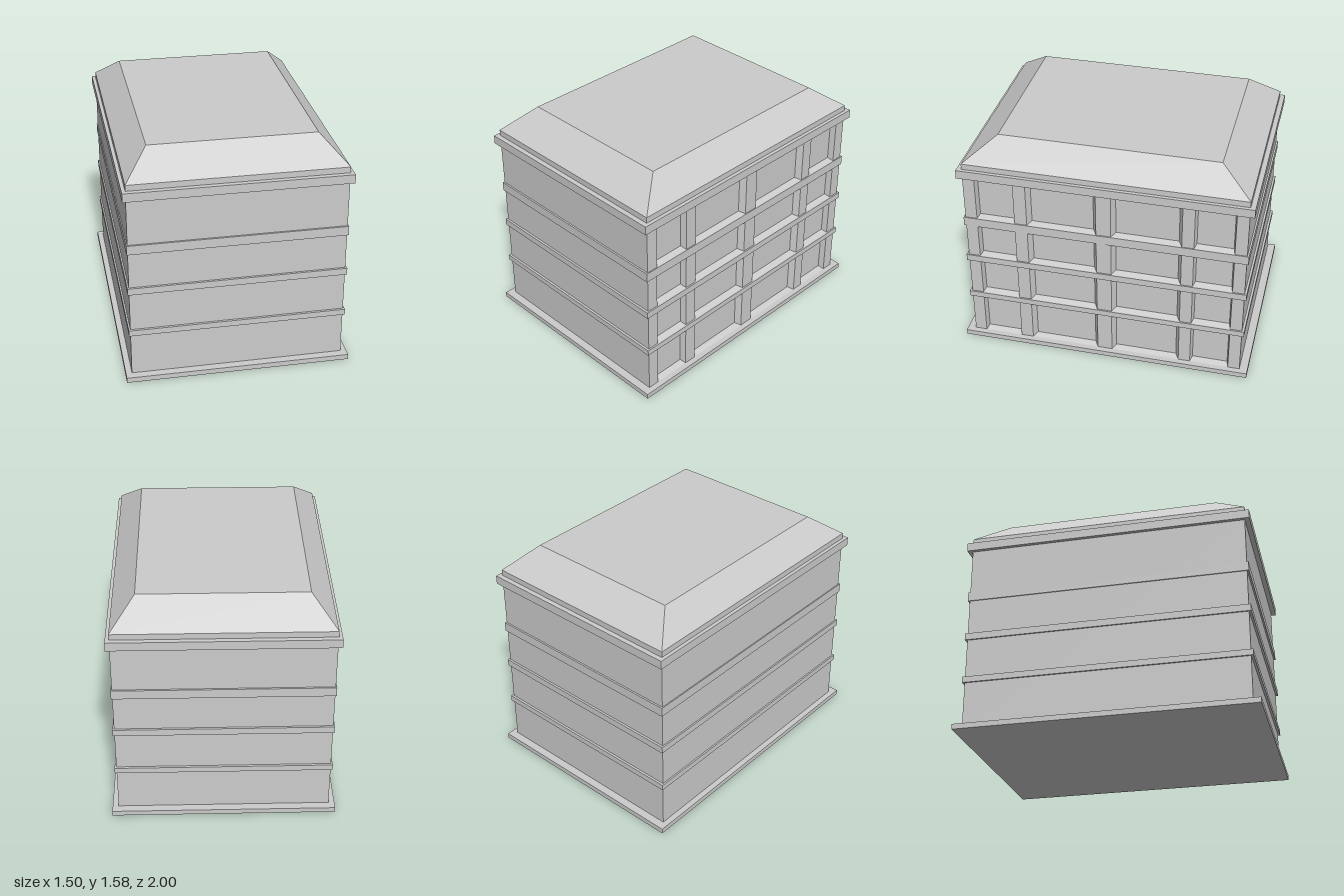
import * as THREE from 'three';

const material = new THREE.MeshStandardMaterial({ color: 0xcccccc, flatShading: true });
const HALF_X = 0.71, HALF_Z = 0.945, WALL_TOP = 1.35, RECESS = 0.04;

function addMesh(group, name, geometry) {
  const mesh = new THREE.Mesh(geometry, material);
  mesh.name = name;
  group.add(mesh);
  return mesh;
}

// Horizontal slab between two heights
function addSlab(group, name, y0, y1, halfX, halfZ) {
  const slab = addMesh(group, name, new THREE.BoxGeometry(2 * halfX, y1 - y0, 2 * halfZ));
  slab.position.y = (y0 + y1) / 2;
}

function rectangle(PathType, x0, x1, y0, y1) {
  return new PathType([[x0, y0], [x1, y0], [x1, y1], [x0, y1]].map(([x, y]) => new THREE.Vector2(x, y)));
}

// Pierced wall whose openings narrow towards the back
function facadeGeometry() {
  const columns = [[-0.865, -0.605], [-0.52, -0.05], [0.05, 0.52], [0.6, 0.865]];
  const rows = [[0.036, 0.335], [0.376, 0.645], [0.692, 0.938], [1.002, 1.32]];
  const wall = rectangle(THREE.Shape, -HALF_Z, HALF_Z, 0, WALL_TOP);
  const openings = [];
  for (const [x0, x1] of columns) {
    for (const [y0, y1] of rows) {
      openings.push({ x0, x1, y0, y1, inset: x1 - x0 > 0.4 ? 0.025 : 0.012 });
      wall.holes.push(rectangle(THREE.Path, x0, x1, y0, y1));
    }
  }
  const geometry = new THREE.ExtrudeGeometry(wall, { depth: RECESS, bevelEnabled: false });
  const p = geometry.attributes.position;
  const same = (a, b) => Math.abs(a - b) < 1e-4;
  for (let i = 0; i < p.count; i++) {
    if (p.getZ(i) > RECESS / 2) continue;
    const x = p.getX(i), y = p.getY(i);
    for (const o of openings) {
      const left = same(x, o.x0), low = same(y, o.y0);
      if ((left || same(x, o.x1)) && (low || same(y, o.y1))) {
        p.setXY(i, x + (left ? o.inset : -o.inset), y + (low ? 0.015 : -0.015));
        break;
      }
    }
  }
  geometry.computeVertexNormals();
  return geometry;
}

// Roof: short upright rim, then a slope up to a flat top
function roofGeometry() {
  const rings = [[1.37, HALF_X, HALF_Z], [1.42, HALF_X, HALF_Z], [1.58, 0.55, 0.735]];
  const points = [], index = [];
  for (const [y, x, z] of rings) points.push(-x, y, z, x, y, z, x, y, -z, -x, y, -z);
  for (let r = 0; r < 2; r++) {
    for (let k = 0; k < 4; k++) {
      const a = r * 4 + k, b = r * 4 + (k + 1) % 4;
      index.push(a, b, b + 4, a, b + 4, a + 4);
    }
  }
  index.push(8, 9, 10, 8, 10, 11);
  const indexed = new THREE.BufferGeometry();
  indexed.setAttribute('position', new THREE.Float32BufferAttribute(points, 3));
  indexed.setIndex(index);
  const geometry = indexed.toNonIndexed();
  geometry.computeVertexNormals();
  return geometry;
}

export function createModel() {
  const group = new THREE.Group();
  group.name = 'building';

  // Solid body behind the window wall
  const body = addMesh(group, 'body', new THREE.BoxGeometry(2 * HALF_X - RECESS, WALL_TOP, 2 * HALF_Z));
  body.position.set(-RECESS / 2, WALL_TOP / 2, 0);

  // Window wall on the +x side
  const facade = addMesh(group, 'windowWall', facadeGeometry());
  facade.rotation.y = Math.PI / 2;
  facade.position.x = HALF_X - RECESS;

  // Base, storey bands and cornice
  addSlab(group, 'base', 0, 0.036, 0.75, 1);
  addSlab(group, 'firstBand', 0.335, 0.376, 0.721, 0.961);
  addSlab(group, 'secondBand', 0.645, 0.692, 0.72, 0.96);
  addSlab(group, 'thirdBand', 0.938, 1.002, 0.717, 0.957);
  addSlab(group, 'cornice', 1.32, 1.38, 0.734, 0.978);

  addMesh(group, 'roof', roofGeometry());
  return group;
}
